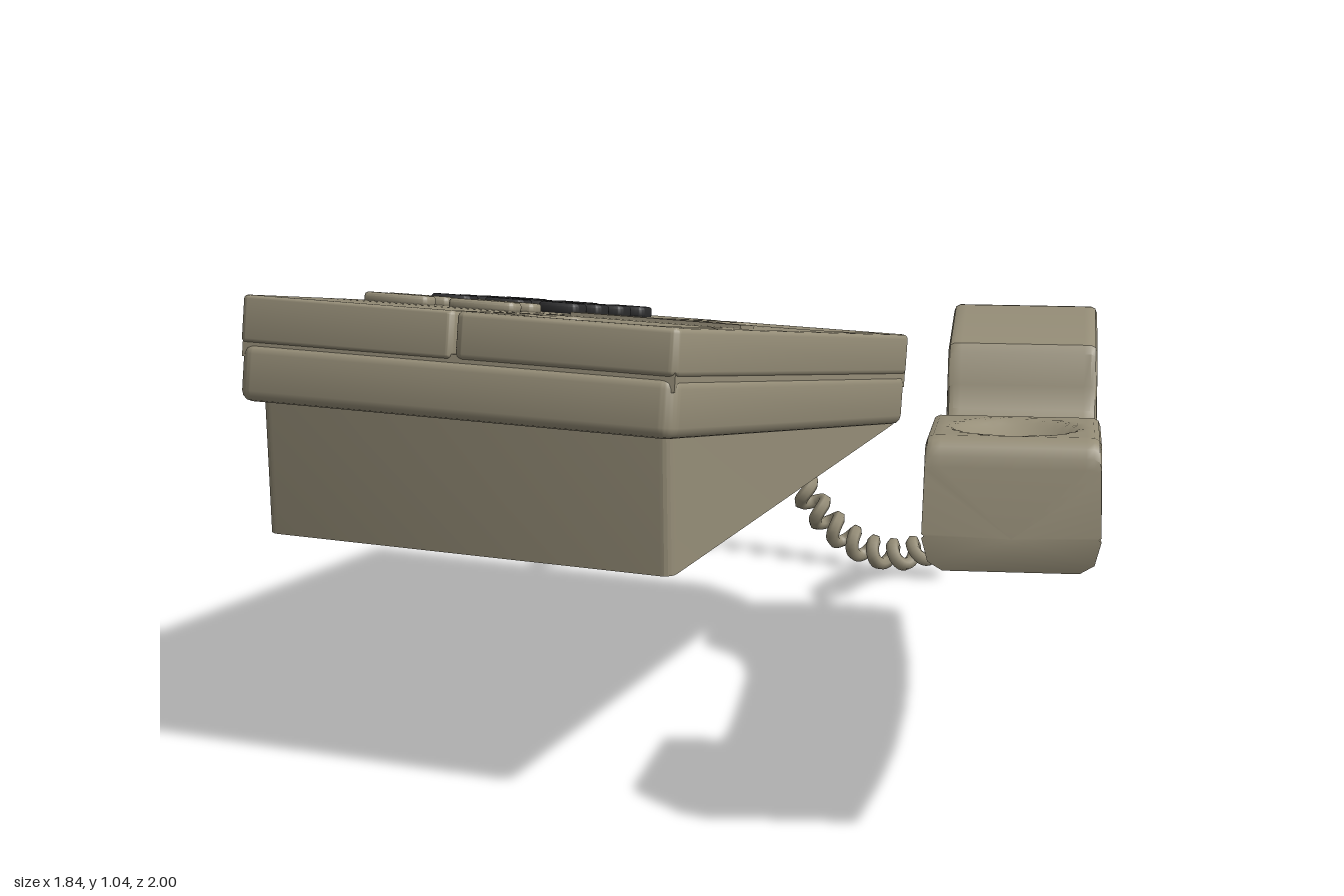
import * as THREE from 'three';
import { toCreasedNormals } from 'three/addons/utils/BufferGeometryUtils.js';

const makeMat = (name, color, side = THREE.FrontSide) => {
  const m = new THREE.MeshStandardMaterial({ color, side });
  m.name = name;
  return m;
};

// Rounded rectangle outline; y of the shape is -z of the model
function roundRect(path, x0, x1, z0, z1, r) {
  const a = -z1, b = -z0;
  path.moveTo(x0 + r, a);
  path.lineTo(x1 - r, a); path.absarc(x1 - r, a + r, r, -Math.PI / 2, 0);
  path.lineTo(x1, b - r); path.absarc(x1 - r, b - r, r, 0, Math.PI / 2);
  path.lineTo(x0 + r, b); path.absarc(x0 + r, b - r, r, Math.PI / 2, Math.PI);
  path.lineTo(x0, a + r); path.absarc(x0 + r, a + r, r, Math.PI, Math.PI * 1.5);
  return path;
}

// Horizontal slab with softened edges and optional wells cut through it
function slab(x0, x1, z0, z1, y0, y1, r, b, holes = []) {
  const shape = roundRect(new THREE.Shape(), x0 + b, x1 - b, z0 + b, z1 - b, r);
  for (const h of holes) shape.holes.push(roundRect(new THREE.Path(), ...h, 0.05));
  const g = new THREE.ExtrudeGeometry(shape, {
    depth: y1 - y0 - 2 * b, bevelThickness: b, bevelSize: b, bevelSegments: 3, curveSegments: 5,
  });
  g.translate(0, 0, b).rotateX(-Math.PI / 2).translate(0, y0, 0);
  return toCreasedNormals(g, 0.6);
}

// Handset: rings of points along z, with a round dish in the front lobe
function handsetGeometry() {
  const profile = [[-0.684, 0.82], [-0.68, 0.84], [-0.67, 0.857], [-0.655, 0.867], [-0.635, 0.87],
    [-0.335, 0.842], [-0.318, 0.825],
    [-0.3, 0.755], [-0.275, 0.705], [-0.23, 0.675], [-0.15, 0.66], [0, 0.655], [0.2, 0.655],
    [0.27, 0.665], [0.308, 0.69], [0.322, 0.74], [0.334, 0.82], [0.35, 0.84]];
  for (let i = 1; i <= 20; i++) profile.push([0.35 + i * 0.0143, 0.84 + i * 0.0015]);
  profile.push([0.66, 0.867], [0.675, 0.857], [0.685, 0.84], [0.689, 0.82]);
  const pos = [], idx = [], across = 20;
  let n = 0;
  for (const [t, yt] of profile) {
    const k = (t / 0.68) ** 2, ys = 0.6 + 0.09 * k, yb = 0.54 + 0.08 * k;
    const ring = [];
    for (let j = 0; j <= across; j++) {
      const x = -0.153 + 0.306 * j / across;
      const d = (x * x + (t - 0.5) ** 2) / 0.125 ** 2;
      ring.push([x, yt - 0.045 * Math.max(0, 1 - d), t]);
    }
    const ts = t * 1.045;
    const side = [[0.163, yt - 0.005, t], [0.167, yt - 0.016, t * 1.003], [0.17, ys + 0.004, ts],
      [0.165, ys, ts], [0.17, ys - 0.004, ts], [0.158, yb + 0.02, ts], [0.13, yb, t * 1.03]];
    ring.push(...side, ...side.map(([x, y, z]) => [-x, y, z]).reverse());
    n = ring.length;
    pos.push(...ring.flat());
  }
  const rows = profile.length;
  for (let i = 0; i < rows - 1; i++) {
    for (let j = 0; j < n; j++) {
      const a = i * n + j, b = i * n + (j + 1) % n;
      idx.push(a, a + n, b, b, a + n, b + n);
    }
  }
  // end caps, fanned from the middle of the seam line
  const c = rows * n, last = (rows - 1) * n;
  pos.push(0, 0.69, -0.684 * 1.045, 0, 0.69, 0.689 * 1.045);
  for (let j = 0; j < n; j++) {
    const k = (j + 1) % n;
    idx.push(c, j, k, c + 1, last + k, last + j);
  }
  const g = new THREE.BufferGeometry();
  g.setAttribute('position', new THREE.Float32BufferAttribute(pos, 3));
  g.setIndex(idx);
  return toCreasedNormals(g, 0.6);
}

// Open-bottomed wedge wall: U-shaped plan, top following the sloping shell
function footGeometry() {
  const plan = [[-0.885, -0.45]], r = 0.025, pos = [], idx = [];
  for (let i = 0; i <= 5; i++) {
    const a = Math.PI - i * Math.PI / 10;
    plan.push([-0.86 + r * Math.cos(a), 0.895 + r * Math.sin(a)]);
  }
  plan.push(...plan.map(([x, z]) => [-0.84 - x, z]).reverse());
  plan.forEach(([x, z], i) => {
    pos.push(x, 0.53, z, x, 0.69 + 0.207 * (z - 0.257), z);
    if (i) idx.push(2 * i - 2, 2 * i, 2 * i - 1, 2 * i - 1, 2 * i, 2 * i + 1);
  });
  const g = new THREE.BufferGeometry();
  g.setAttribute('position', new THREE.Float32BufferAttribute(pos, 3));
  g.setIndex(idx);
  return toCreasedNormals(g, 0.2);
}

// Coiled cord wound around a hanging guide curve, with straight ends
function cordGeometry() {
  const guide = new THREE.CatmullRomCurve3([[0.385, 0.69, -0.42], [0.37, 0.71, -0.5], [0.34, 0.67, -0.6],
    [0.29, 0.59, -0.73], [0.23, 0.44, -0.84], [0.17, 0.28, -0.885], [0.08, 0.15, -0.91], [-0.03, 0.07, -0.925],
    [-0.16, 0.047, -0.94], [-0.29, 0.1, -0.955], [-0.39, 0.22, -0.957], [-0.455, 0.37, -0.93],
    [-0.46, 0.5, -0.84], [-0.49, 0.57, -0.74], [-0.545, 0.6, -0.62], [-0.53, 0.62, -0.46],
  ].map((p) => new THREE.Vector3(...p)));
  const steps = 480, turns = 34, pts = [];
  const frames = guide.computeFrenetFrames(steps, false);
  for (let i = 0; i <= steps; i++) {
    const u = i / steps, a = u * turns * Math.PI * 2;
    const r = 0.028 * THREE.MathUtils.smoothstep(Math.min(u, 1 - u), 0.02, 0.07);
    pts.push(guide.getPointAt(u)
      .addScaledVector(frames.normals[i], r * Math.cos(a))
      .addScaledVector(frames.binormals[i], r * Math.sin(a)));
  }
  return new THREE.TubeGeometry(new THREE.CatmullRomCurve3(pts), 700, 0.0175, 6, false);
}

export function createModel() {
  const body = makeMat('warm grey plastic', 0x968e78);
  const wall = makeMat('warm grey plastic wall', 0x968e78, THREE.DoubleSide);
  const dark = makeMat('black plastic', 0x2c2c2d);
  const model = new THREE.Group();
  model.name = 'deskTelephone';
  const add = (parent, name, geo, mat, x = 0, y = 0, z = 0) => {
    const m = new THREE.Mesh(geo, mat);
    m.name = name;
    m.position.set(x, y, z);
    parent.add(m);
    return m;
  };
  const box = (w, h, d) => new THREE.BoxGeometry(w, h, d);

  // Sloping body, recessed underneath; y = 0 is its top face
  const base = new THREE.Group();
  base.name = 'base';
  base.position.set(-0.42, 0.895, 0.2125);
  base.rotation.x = -0.204;
  model.add(base);
  add(base, 'lowerShell', slab(-0.492, 0.492, -0.728, 0.732, -0.22, -0.099, 0.012, 0.022,
    [[-0.38, 0.4, -0.58, 0.48]]), body);
  add(base, 'shellSeam', box(0.974, 0.04, 1.448), body, 0, -0.108, 0);

  // Top plates: cradle side with two wells, keypad side in three panels
  const wells = [[-0.702, -0.309], [0.314, 0.702]];
  add(base, 'cradlePlate', slab(0.002, 0.492, -0.728, 0.73, -0.098, 0, 0.008, 0.012,
    wells.map(([a, b]) => [0.06, 0.435, a, b])), body);
  for (const [a, b] of wells) {
    add(base, 'wellFloor', box(0.37, 0.02, b - a), body, 0.2475, -0.078, (a + b) / 2);
  }
  for (const [a, b] of [[-0.728, 0.159], [0.163, 0.394], [0.398, 0.73]]) {
    add(base, 'keypadPanel', slab(-0.492, -0.002, a, b, -0.098, 0, 0.006, 0.008), body);
  }

  // Label strip, hook, keys and function buttons
  add(base, 'labelStrip', box(0.395, 0.012, 0.08), body, 0.245, 0.002, 0.242);
  add(base, 'hookSwitch', slab(0.222, 0.275, 0.345, 0.45, -0.07, -0.025, 0.004, 0.004), body);
  const key = slab(-0.05, 0.05, -0.036, 0.036, -0.005, 0.024, 0.012, 0.008);
  for (const x of [-0.377, -0.24, -0.103]) {
    for (const z of [-0.37, -0.246, -0.121, 0.003]) add(base, 'key', key, dark, x, 0, z);
  }
  const button = slab(-0.08, 0.08, -0.029, 0.029, -0.005, 0.02, 0.012, 0.008);
  for (const x of [-0.345, -0.137]) {
    for (const z of [0.225, 0.323]) add(base, 'functionButton', button, body, x, 0, z);
  }
  add(base, 'volumeWheel', new THREE.CylinderGeometry(0.035, 0.035, 0.02, 16), body, -0.464, -0.1, 0.5);

  // Dark fittings in the underside recess: two crosses and a row of blocks
  for (const x of [-0.09, 0.14]) {
    add(base, 'underCross', box(0.15, 0.012, 0.05), dark, x, -0.133, -0.02);
    add(base, 'underCross', box(0.05, 0.014, 0.13), dark, x, -0.133, -0.02);
  }
  for (const x of [-0.09, 0.11, 0.3]) add(base, 'underFitting', box(0.09, 0.014, 0.07), dark, x, -0.133, -0.34);

  add(model, 'foot', footGeometry(), wall);

  // Handset lying beside the base
  const handset = new THREE.Group();
  handset.name = 'handset';
  handset.position.set(0.57, 0, 0.257);
  handset.rotation.y = 0.263;
  model.add(handset);
  add(handset, 'handsetBody', handsetGeometry(), body);
  const slot = add(handset, 'hookSlot', box(0.09, 0.05, 0.014), body, 0, 0.775, 0.324);
  slot.rotation.x = 0.15;
  add(handset, 'cordPlug', new THREE.CylinderGeometry(0.02, 0.02, 0.06, 10).rotateX(Math.PI / 2), body, 0, 0.69, -0.725);

  add(model, 'coiledCord', cordGeometry(), body);
  return model;
}
